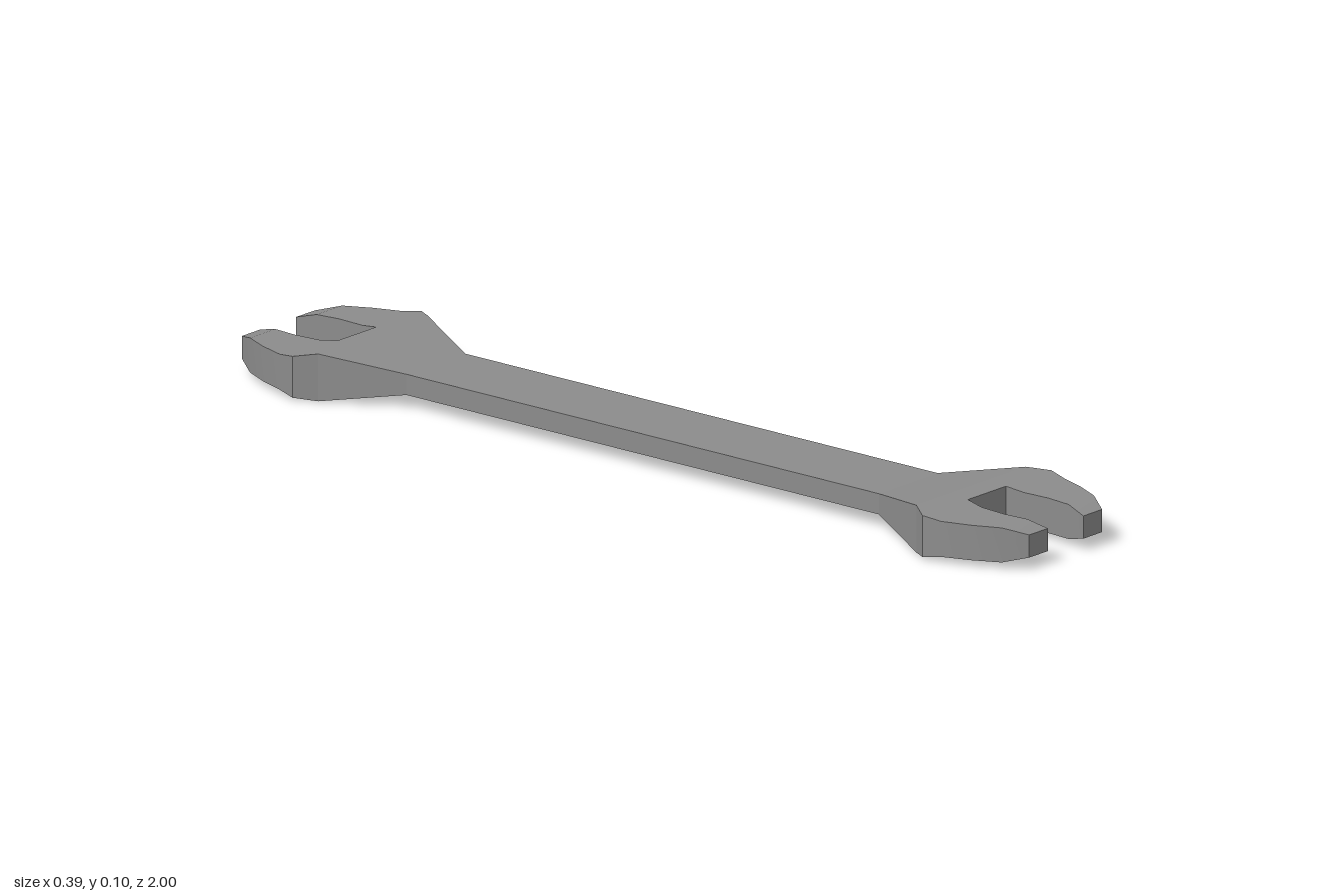
import * as THREE from 'three';
import { toCreasedNormals } from 'three/addons/utils/BufferGeometryUtils.js';

const MID_Y = 0.048;

// Solid lofted along z through rectangular sections [z, xMin, xMax, halfHeight]
function loft(name, sections, crease, material) {
  const pos = [];
  const corners = ([z, a, b, h]) => [[a, -h, z], [b, -h, z], [b, h, z], [a, h, z]];
  const quad = (a, b, c, d) => pos.push(...a, ...b, ...c, ...a, ...c, ...d);
  const rings = sections.map(corners);
  for (let i = 0; i < rings.length - 1; i++) {
    const p = rings[i], q = rings[i + 1];
    for (let k = 0; k < 4; k++) {
      const n = (k + 1) % 4;
      quad(p[k], p[n], q[n], q[k]);
    }
  }
  const first = rings[0], last = rings[rings.length - 1];
  quad(first[3], first[2], first[1], first[0]);
  quad(last[0], last[1], last[2], last[3]);
  const geometry = new THREE.BufferGeometry();
  geometry.setAttribute('position', new THREE.Float32BufferAttribute(pos, 3));
  const mesh = new THREE.Mesh(toCreasedNormals(geometry, crease), material);
  mesh.name = name;
  return mesh;
}

export function createModel() {
  const group = new THREE.Group();
  group.name = 'openEndedWrench';
  const steel = new THREE.MeshStandardMaterial({ color: 0x8c8c8c });

  // Flat handle bar
  const handle = new THREE.Mesh(new THREE.BoxGeometry(0.176, 0.042, 1.2), steel);
  handle.name = 'handle';
  handle.position.y = MID_Y;
  group.add(handle);

  // Flared neck: [z, half width, half height]
  const neck = [[0.6, 0.088, 0.021], [0.76, 0.164, 0.048], [0.8, 0.193, 0.042]];
  // Curved jaw: [z, inner x, outer x, half height]
  const jaw = [
    [0.8, 0.057, 0.193, 0.042],
    [0.84, 0.063, 0.184, 0.036],
    [0.9, 0.067, 0.164, 0.0355],
    [0.955, 0.062, 0.138, 0.035],
    [1.0, 0.053, 0.109, 0.023],
  ];

  // The same head at both ends, turned half a circle: faceted neck, smooth jaws
  for (const [name, angle] of [['frontHead', 0], ['backHead', Math.PI]]) {
    const head = new THREE.Group();
    head.name = name;
    head.add(
      loft('neck', neck.map(([z, w, h]) => [z, -w, w, h]), 0.1, steel),
      loft('leftJaw', jaw, 0.5, steel),
      loft('rightJaw', jaw.map(([z, a, b, h]) => [z, -b, -a, h]), 0.5, steel),
    );
    head.position.y = MID_Y;
    head.rotation.y = angle;
    group.add(head);
  }
  return group;
}
